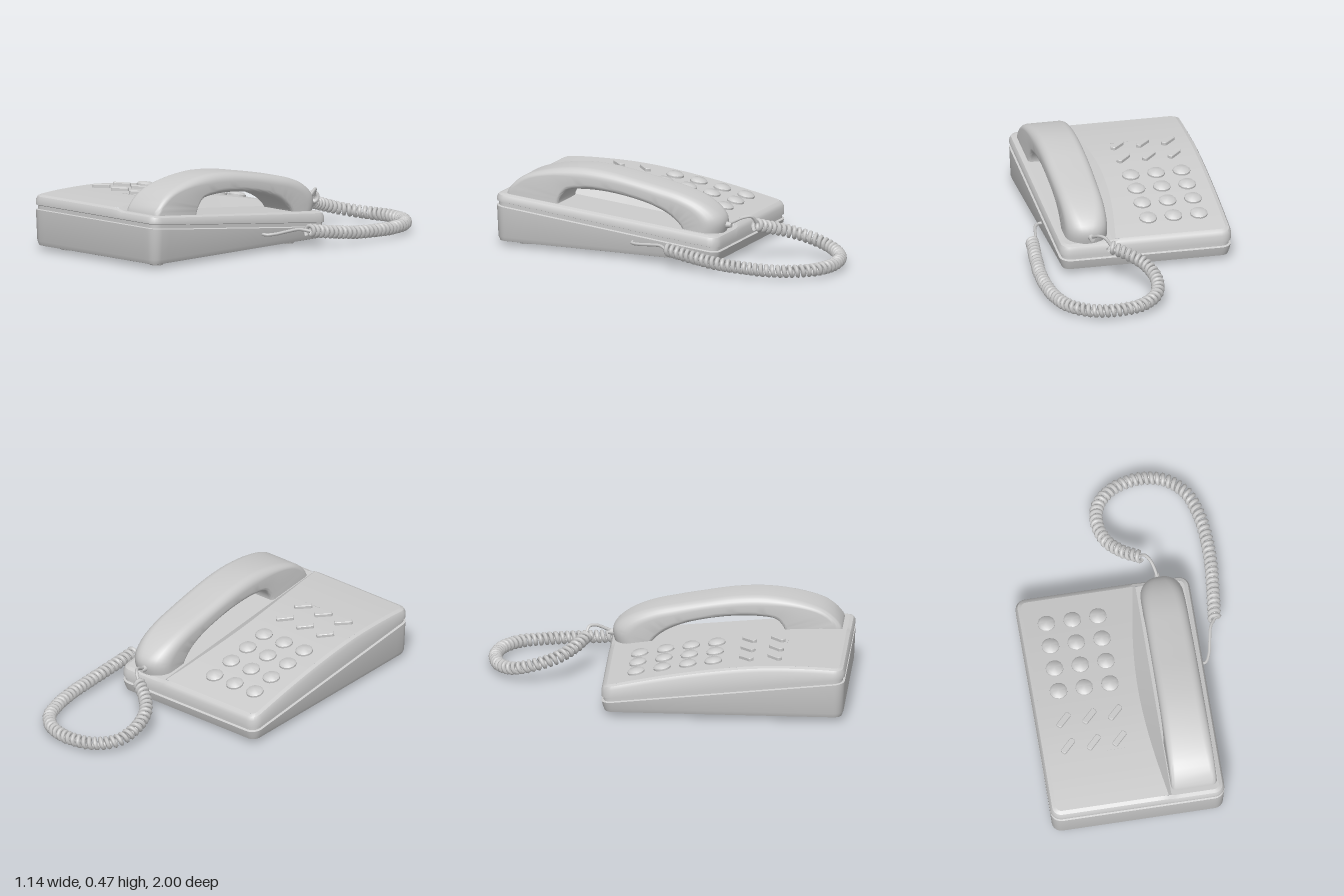
import * as THREE from 'three';
import { toCreasedNormals } from 'three/addons/utils/BufferGeometryUtils.js';

const mat = new THREE.MeshStandardMaterial({ color: 0xcccccc });
const thinMat = new THREE.MeshStandardMaterial({ color: 0xcccccc, side: THREE.DoubleSide });
const V = (x, y, z) => new THREE.Vector3(x, y, z);

// Skin over rows of points; each row has the same count
function surface(rows, closed, crease = 0.6) {
  const pos = [], idx = [];
  const n = rows[0].length, last = closed ? n : n - 1;
  rows.forEach(r => r.forEach(p => pos.push(p.x, p.y, p.z)));
  for (let i = 0; i < rows.length - 1; i++) {
    for (let j = 0; j < last; j++) {
      const k = (j + 1) % n;
      const a = i * n + j, b = i * n + k, c = (i + 1) * n + k, d = (i + 1) * n + j;
      idx.push(a, b, c, a, c, d);
    }
  }
  const g = new THREE.BufferGeometry();
  g.setAttribute('position', new THREE.Float32BufferAttribute(pos, 3));
  g.setIndex(idx);
  return toCreasedNormals(g, crease);
}

// Counter-clockwise rounded rectangle; top corners use rTop, bottom ones rBot
function roundLoop(x0, x1, y0, y1, rTop, rBot, n = 6, m = 1) {
  const corners = [
    [x1 - rBot, y0 + rBot, rBot, -0.5], [x1 - rTop, y1 - rTop, rTop, 0],
    [x0 + rTop, y1 - rTop, rTop, 0.5], [x0 + rBot, y0 + rBot, rBot, 1]];
  const arc = ([cx, cy, r, s], i) => {
    const a = (s + 0.5 * i / n) * Math.PI;
    return [cx + r * Math.cos(a), cy + r * Math.sin(a)];
  };
  const pts = [];
  corners.forEach((c, k) => {
    for (let i = 0; i <= n; i++) pts.push(arc(c, i));
    const a = arc(c, n), b = arc(corners[(k + 1) % 4], 0);
    for (let i = 1; i < m; i++) pts.push([a[0] + (b[0] - a[0]) * i / m, a[1] + (b[1] - a[1]) * i / m]);
  });
  return pts;
}

// Housing extents and heights
const X0 = -0.57, X1 = 0.39, Z0 = -0.33, Z1 = 1, STEP = 0.095;
const seamY = z => 0.25 - 0.109 * (1 - z);
const trayY = z => 0.295 - 0.0977 * (1 - z);
const panelProfile = new THREE.SplineCurve([[-0.33, 0.172], [0, 0.24], [0.3, 0.287], [0.55, 0.311], [0.8, 0.313], [1, 0.303]]
  .map(p => new THREE.Vector2(...p)));
const panelTable = panelProfile.getPoints(60);
function panelY(z) {
  let i = 0;
  while (i < panelTable.length - 2 && panelTable[i + 1].x < z) i++;
  const a = panelTable[i], b = panelTable[i + 1];
  return a.y + (b.y - a.y) * (z - a.x) / (b.x - a.x);
}
// Curved upper edge of the step from key panel down to the handset tray
const stepX = z => STEP - 0.01 - 0.075 * Math.sin(Math.PI * THREE.MathUtils.clamp((z - Z0) / (Z1 - Z0), 0, 1));
function topY(x, z) {
  const e = stepX(z), k = THREE.MathUtils.clamp((x - e) / (STEP - e), 0, 1);
  return panelY(z) * (1 - k) + trayY(z) * k;
}

function housing() {
  const rings = [
    [0.04, () => 0.02], [0.018, () => 0.026], [0.008, () => 0.05],
    [0, z => seamY(z) - 0.026], [0.012, z => seamY(z) - 0.022],
    [0.012, z => seamY(z) - 0.002], [0, z => seamY(z) + 0.002],
    [0, (z, x) => topY(x, z) - 0.026], [0.01, (z, x) => topY(x, z) - 0.008], [0.03, (z, x) => topY(x, z)]];
  const rows = rings.map(([d, y]) =>
    roundLoop(X0 + d, X1 - d, -Z1 + d, -Z0 - d, 0.06 - d, 0.06 - d, 6, 24)
      .map(([x, w]) => V(x, y(-w, x), -w)));
  rows.unshift(rows[0].map(() => V((X0 + X1) / 2, 0.02, (Z0 + Z1) / 2)));
  return surface(rows, true);
}

function topPanel() {
  const d = 0.03, r = 0.03, depths = [0, 0.002, 0.006, 0.012, 0.02, r], zs = [];
  depths.forEach(k => zs.push(Z1 - d - k));
  for (let i = 1; i < 40; i++) zs.push(Z1 - d - r - (Z1 - Z0 - 2 * d - 2 * r) * i / 40);
  depths.slice().reverse().forEach(k => zs.push(Z0 + d + k));
  return surface(zs.map(z => {
    const k = Math.max(0, r - Math.min(Z1 - d - z, z - Z0 - d));
    const cut = d + r - Math.sqrt(Math.max(0, r * r - k * k));
    const e = stepX(z), xs = [];
    for (let i = 0; i <= 6; i++) xs.push(X0 + cut + (e - X0 - cut) * i / 6);
    for (let i = 0; i <= 4; i++) xs.push(STEP + (X1 - cut - STEP) * i / 4);
    return xs.map(x => V(x, topY(x, z), z));
  }), false, 0.4);
}

// Handset: sections between an outer and an inner profile; x holds corner radius
function handset() {
  const outer = new THREE.CatmullRomCurve3([
    [0.03, 0.25, 0.95], [0.03, 0.31, 0.935], [0.035, 0.385, 0.86], [0.045, 0.435, 0.73], [0.05, 0.465, 0.53],
    [0.05, 0.457, 0.35], [0.05, 0.431, 0.19], [0.05, 0.405, 0.05], [0.055, 0.372, -0.1], [0.07, 0.325, -0.22],
    [0.095, 0.265, -0.3], [0.105, 0.22, -0.318], [0.105, 0.14, -0.3]].map(p => V(...p)));
  const inner = new THREE.CatmullRomCurve3([
    [0.02, 0.23, 0.635], [0.02, 0.27, 0.632], [0.02, 0.305, 0.615], [0.025, 0.338, 0.58], [0.03, 0.35, 0.5],
    [0.03, 0.348, 0.34], [0.03, 0.318, 0.15], [0.03, 0.288, 0.05], [0.03, 0.255, -0.02], [0.025, 0.22, -0.07],
    [0.02, 0.195, -0.095], [0.02, 0.175, -0.105], [0.02, 0.14, -0.11]].map(p => V(...p)));
  const rows = [];
  for (let i = 0; i <= 48; i++) {
    const t = i / 48, o = outer.getPoint(t), n = inner.getPoint(t);
    const len = Math.hypot(o.y - n.y, o.z - n.z), half = 0.127 - 0.012 * t;
    rows.push(roundLoop(-half, half, 0, len, o.x, n.x).map(([u, v]) =>
      V(0.227 - u, n.y + (o.y - n.y) * v / len, n.z + (o.z - n.z) * v / len)));
  }
  return surface(rows, true, 1);
}

// Coiled cord: a helix wound round a looping centre line
function coil() {
  const path = new THREE.CatmullRomCurve3([
    [0.15, 0.205, -0.455], [0.05, 0.17, -0.52], [-0.02, 0.14, -0.6], [-0.052, 0.105, -0.72], [-0.025, 0.07, -0.84],
    [0.07, 0.052, -0.925], [0.22, 0.048, -0.96], [0.36, 0.046, -0.93], [0.46, 0.046, -0.84], [0.51, 0.046, -0.7],
    [0.528, 0.052, -0.55], [0.528, 0.06, -0.4], [0.515, 0.078, -0.25], [0.495, 0.105, -0.07]].map(p => V(...p)));
  const turns = 58, steps = turns * 12, f = path.computeFrenetFrames(steps), pts = [];
  for (let i = 0; i <= steps; i++) {
    const a = i / 12 * Math.PI * 2;
    pts.push(path.getPointAt(i / steps)
      .addScaledVector(f.normals[i], 0.026 * Math.cos(a))
      .addScaledVector(f.binormals[i], 0.026 * Math.sin(a)));
  }
  const helix = new THREE.CatmullRomCurve3(pts);
  helix.arcLengthDivisions = steps * 3;
  return new THREE.TubeGeometry(helix, steps, 0.0125, 6);
}
const wire = pts => new THREE.TubeGeometry(new THREE.CatmullRomCurve3(pts.map(p => V(...p))), 30, 0.009, 6);

export function createModel() {
  const model = new THREE.Group();
  const add = (name, geo, x = 0, y = 0, z = 0, m = mat) => {
    const mesh = new THREE.Mesh(geo, m);
    mesh.name = name;
    mesh.position.set(x, y, z);
    model.add(mesh);
    return mesh;
  };
  add('housing', housing());
  add('topPanel', topPanel());
  add('handset', handset(), 0, 0, 0, thinMat);

  // Parts lying on the sloping key panel
  const onPanel = (name, geo, x, z, yaw = 0) => {
    const mesh = add(name, geo, x, panelY(z), z);
    mesh.rotation.set(-Math.atan((panelY(z + 0.02) - panelY(z - 0.02)) / 0.04), yaw, 0);
  };
  const keyGeo = toCreasedNormals(new THREE.LatheGeometry(
    [[0.048, -0.01], [0.048, 0.01], [0.036, 0.021], [0, 0.024]].map(p => new THREE.Vector2(...p)), 14), 0.7);
  const slashShape = new THREE.Shape(roundLoop(-0.046, 0.046, -0.013, 0.013, 0.007, 0.007, 3)
    .map(p => new THREE.Vector2(...p)));
  const slashGeo = new THREE.ExtrudeGeometry(slashShape,
    { depth: 0.02, bevelSize: 0.003, bevelThickness: 0.003, bevelSegments: 1 })
    .rotateX(-Math.PI / 2).translate(0, -0.005, 0);
  for (const x of [-0.42, -0.278, -0.136]) {
    for (const z of [-0.147, -0.005, 0.135, 0.275]) onPanel('key', keyGeo, x, z);
    for (const z of [0.455, 0.61]) onPanel('functionKey', slashGeo, x, z, Math.PI / 4);
  }
  onPanel('panelStrip', new THREE.BoxGeometry(0.1, 0.004, 0.006), -0.16, 0.662);

  // Feet
  const foot = new THREE.CylinderGeometry(0.046, 0.036, 0.024, 16);
  for (const x of [-0.43, 0.26]) for (const z of [-0.14, 0.86]) add('foot', foot, x, 0.012, z);

  // Cord with straight leads to the handset and the housing
  add('coiledCord', coil(), 0, 0, 0, thinMat);
  add('handsetLead', wire([[0.22, 0.2, -0.3], [0.215, 0.222, -0.35], [0.195, 0.25, -0.41], [0.17, 0.25, -0.445], [0.145, 0.215, -0.46]]), 0, 0, 0, thinMat);
  add('housingLead', wire([[0.5, 0.1, -0.08], [0.468, 0.112, -0.03], [0.452, 0.108, 0.04], [0.435, 0.1, 0.12], [0.41, 0.098, 0.165], [0.375, 0.1, 0.172]]), 0, 0, 0, thinMat);
  add('cordRelief', new THREE.CylinderGeometry(0.014, 0.02, 0.04, 10), 0.22, 0.205, -0.325).rotation.x = -Math.PI / 2;
  return model;
}
